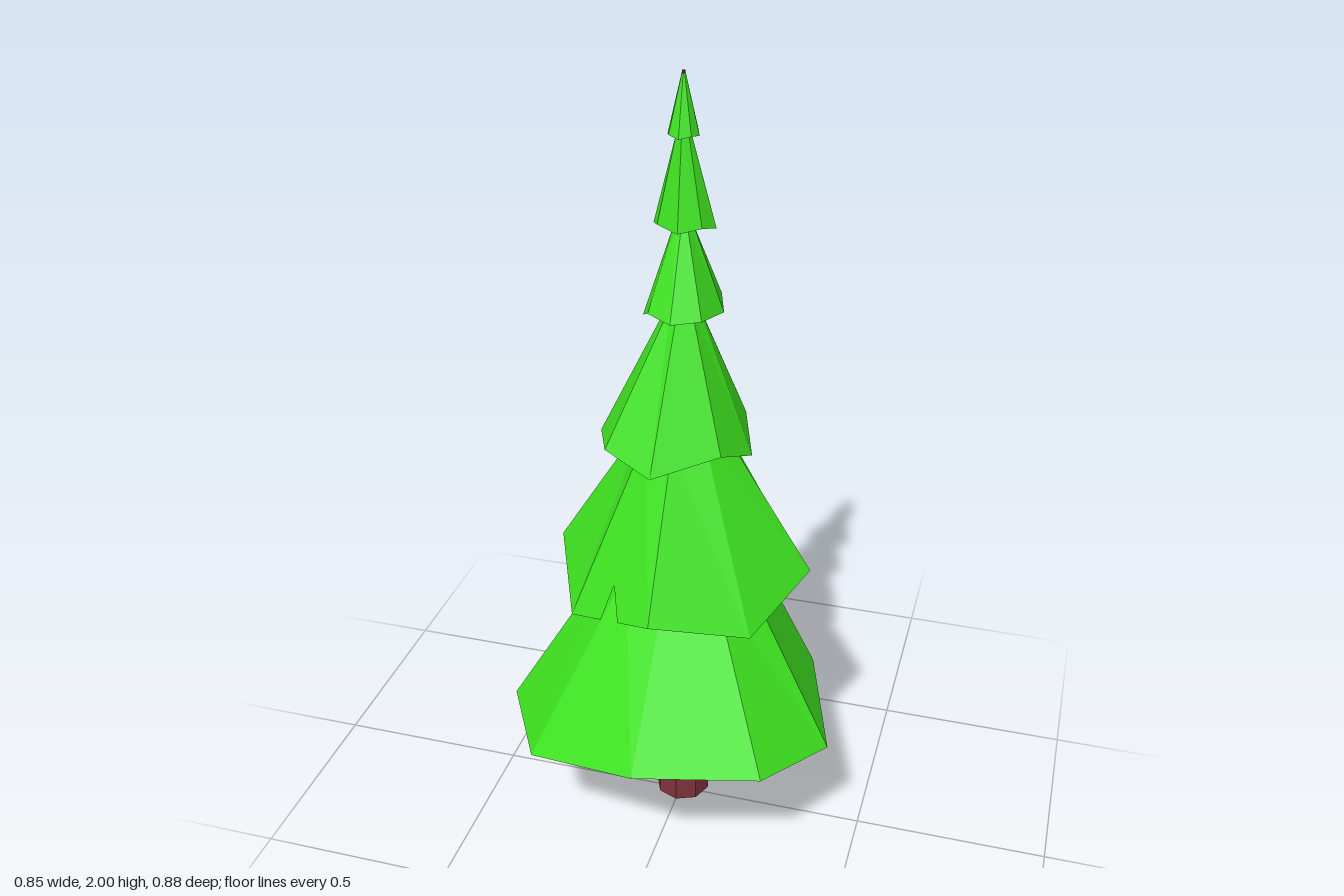
import * as THREE from 'three';

const green = new THREE.MeshStandardMaterial({ color: 0x3ee220, flatShading: true, side: THREE.DoubleSide });
green.name = 'needle green';
const brown = new THREE.MeshStandardMaterial({ color: 0x7d323c, flatShading: true });
brown.name = 'bark red-brown';

// Skirt of branches: eight panels from an uneven rim to a shoulder ring, closed by a low peak at the trunk.
// Rim points [x, y, z] run from the back, over +x, the front and -x.
// The ring is { y, r, z, tilt, peak }; notches maps a panel to [along, up] points cut into its hem.
function skirt(name, rim, ring, notches = {}) {
  const bottom = rim.map((p) => new THREE.Vector3(...p));
  const top = bottom.map((p) => {
    const a = Math.atan2(p.x, p.z - ring.z);
    const dz = ring.r * Math.cos(a);
    return new THREE.Vector3(ring.r * Math.sin(a), ring.y + dz * (ring.tilt || 0), ring.z + dz);
  });
  const pos = [];
  bottom.forEach((a, i) => {
    const j = (i + 1) % bottom.length;
    const outline = [[0, 0], ...(notches[i] || []), [1, 0], [1, 1], [0, 1]].map((p) => new THREE.Vector2(...p));
    const points = outline.map(({ x, y }) =>
      a.clone().lerp(bottom[j], x).lerp(top[i].clone().lerp(top[j], x), y));
    // seen from outside the panel runs right to left, so each triangle is reversed
    THREE.ShapeUtils.triangulateShape(outline, []).forEach(([p, q, r]) =>
      [p, r, q].forEach((k) => pos.push(...points[k].toArray())));
    pos.push(...top[i].toArray(), 0, ring.peak, -0.025, ...top[j].toArray());
  });
  const geo = new THREE.BufferGeometry();
  geo.setAttribute('position', new THREE.Float32BufferAttribute(pos, 3));
  geo.computeVertexNormals();
  const mesh = new THREE.Mesh(geo, green);
  mesh.name = name;
  return mesh;
}

// Regular eight-cornered rim with a slightly uneven hem
function evenRim(y, rx, rz, cz, wave) {
  return Array.from({ length: 8 }, (_, i) => {
    const a = Math.PI - i * Math.PI / 4;
    return [rx * Math.sin(a), y + (i % 2 ? wave : -wave), cz + rz * Math.cos(a)];
  });
}

export function createModel() {
  const tree = new THREE.Group();
  tree.name = 'firTree';

  // Tapered trunk running up through all the skirts to the tip
  const trunk = new THREE.Mesh(new THREE.CylinderGeometry(0.004, 0.073, 2, 8), brown);
  trunk.name = 'trunk';
  trunk.position.set(0, 1, -0.024);
  tree.add(trunk);

  // Lowest skirt, tilted to the back, with two notches on the -x side
  tree.add(skirt('lowestBranches', [
    [0, 0.255, -0.44], [0.3, 0.275, -0.32], [0.425, 0.335, 0.12], [0.3, 0.375, 0.34],
    [0, 0.395, 0.44], [-0.3, 0.32, 0.34], [-0.425, 0.335, 0.12], [-0.3, 0.275, -0.32],
  ], { y: 0.735, r: 0.19, z: -0.055, tilt: 0.16, peak: 0.88 }, {
    6: [[0.28, 0], [0.34, 0.24], [0.39, 0], [0.77, 0], [0.845, 0.24], [0.865, 0]],
  }));

  // Second skirt, notched at front and back
  tree.add(skirt('lowerBranches', [
    [0, 0.78, -0.365], [0.23, 0.68, -0.275], [0.33, 0.76, -0.035], [0.23, 0.685, 0.19],
    [0, 0.737, 0.29], [-0.23, 0.67, 0.19], [-0.33, 0.76, -0.035], [-0.23, 0.69, -0.28],
  ], { y: 1.125, r: 0.102, z: -0.028, peak: 1.18 }, {
    4: [[0.39, 0], [0.57, 0.2], [0.61, 0]],
    7: [[0.565, 0], [0.63, 0.28], [0.675, 0]],
  }));

  // Third skirt, one notch on the -x side towards the back
  tree.add(skirt('middleBranches', [
    [0, 1.09, -0.21], [0.125, 1.12, -0.16], [0.172, 1.067, -0.035], [0.125, 1.12, 0.09],
    [-0.03, 1.075, 0.165], [-0.155, 1.115, 0.12], [-0.206, 1.1, -0.005], [-0.125, 1.12, -0.16],
  ], { y: 1.45, r: 0.036, z: -0.028, peak: 1.475 }, {
    6: [[0.32, 0], [0.5, 0.27], [0.56, 0]],
  }));

  // Fourth skirt with a small notch at the back
  tree.add(skirt('upperBranches', [
    [0, 1.43, -0.145], [0.068, 1.45, -0.12], [0.097, 1.44, -0.03], [0.068, 1.45, 0.063],
    [0, 1.445, 0.09], [-0.062, 1.455, 0.06], [-0.095, 1.42, -0.01], [-0.07, 1.44, -0.115],
  ], { y: 1.65, r: 0.022, z: -0.028, peak: 1.66 }, {
    7: [[0.43, 0], [0.55, 0.25], [0.69, 0]],
  }));

  // Two small skirts at the tip
  tree.add(skirt('highBranches', evenRim(1.648, 0.075, 0.064, -0.036, 0.006),
    { y: 1.862, r: 0.017, z: -0.025, peak: 1.87 }));
  tree.add(skirt('treeTip', evenRim(1.86, 0.037, 0.042, -0.024, 0.003),
    { y: 1.997, r: 0.004, z: -0.025, peak: 1.999 }));
  return tree;
}
